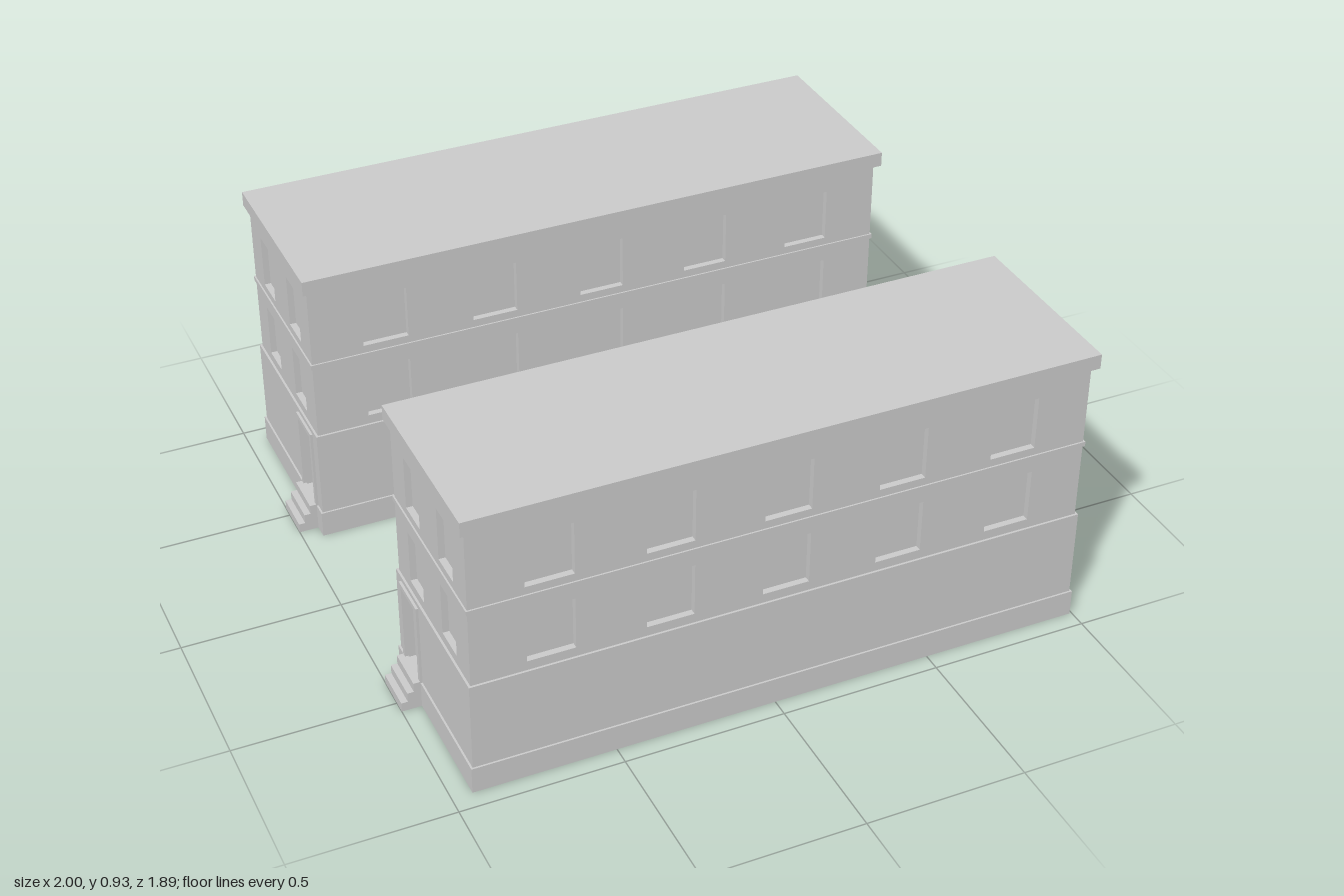
import * as THREE from 'three';

const mat = new THREE.MeshStandardMaterial({ color: 0xcccccc, flatShading: true });
const CX = 0.0275;          // middle of the wall block along x
const HX = 0.9525, HZ = 0.282; // half length and half depth of the upper walls
const DEPTH = 0.02;         // window recess

function add(parent, name, geometry) {
  const mesh = new THREE.Mesh(geometry, mat);
  mesh.name = name;
  parent.add(mesh);
  return mesh;
}

// Box given by its limits
function block(parent, name, x0, x1, y0, y1, z0, z1) {
  const mesh = add(parent, name, new THREE.BoxGeometry(x1 - x0, y1 - y0, z1 - z0));
  mesh.position.set((x0 + x1) / 2, (y0 + y1) / 2, (z0 + z1) / 2);
  return mesh;
}

// Box around the wall block, standing out by `out`
function course(parent, name, out, y0, y1) {
  return block(parent, name, CX - HX - out, CX + HX + out, y0, y1, -HZ - out, HZ + out);
}

function rectPath(Type, x0, x1, y0, y1) {
  const p = new Type();
  p.moveTo(x0, y0);
  p.lineTo(x1, y0);
  p.lineTo(x1, y1);
  p.lineTo(x0, y1);
  p.closePath();
  return p;
}

// Two-storey wall pierced by a row of windows on each floor; outer face at +z
function windowWall(halfWidth, centres, windowWidth) {
  const shape = rectPath(THREE.Shape, -halfWidth, halfWidth, 0.36, 0.89);
  for (const [y0, y1] of [[0.4, 0.57], [0.655, 0.825]])
    for (const c of centres)
      shape.holes.push(rectPath(THREE.Path, c - windowWidth / 2, c + windowWidth / 2, y0, y1));
  const geo = new THREE.ExtrudeGeometry(shape, { depth: DEPTH, bevelEnabled: false });
  return geo.translate(0, 0, -DEPTH);
}

function createBuilding(side) {
  const g = new THREE.Group();
  g.name = side > 0 ? 'frontBuilding' : 'rearBuilding';
  const doorZ = -side * 0.1775;

  // Upper storeys: recessed core behind pierced walls
  course(g, 'windowPanes', -DEPTH, 0.36, 0.89);
  const spacing = 0.357;
  const longCentres = [-2, -1, 0, 1, 2].map((i) => i * spacing);
  for (const s of [1, -1]) {
    const long = add(g, 'longWall', windowWall(HX, longCentres, 0.145));
    long.position.set(CX, 0, s * HZ);
    long.rotation.y = s > 0 ? 0 : Math.PI;
    const end = add(g, 'endWall', windowWall(HZ - DEPTH, [-0.128, 0.128], 0.11));
    end.position.set(CX + s * HX, 0, 0);
    end.rotation.y = s * Math.PI / 2;
  }

  // Ground floor: plan with a notch for the doorway, closed above by a lintel
  const x0 = CX - HX - 0.007, x1 = CX + HX + 0.007, z = HZ + 0.007;
  const plan = new THREE.Shape();
  [[x0, -z], [x1, -z], [x1, z], [x0, z],
    [x0, doorZ + 0.055], [x0 + 0.025, doorZ + 0.055],
    [x0 + 0.025, doorZ - 0.055], [x0, doorZ - 0.055]]
    .forEach(([px, pz], i) => (i ? plan.lineTo(px, -pz) : plan.moveTo(px, -pz)));
  const ground = new THREE.ExtrudeGeometry(plan, { depth: 0.26, bevelEnabled: false });
  add(g, 'groundFloor', ground.rotateX(-Math.PI / 2)).position.y = 0.08;
  course(g, 'groundFloorLedge', 0.007, 0.34, 0.37);

  // Horizontal courses and roof
  course(g, 'plinth', 0.013, 0, 0.085);
  course(g, 'floorBand', 0.005, 0.615, 0.63);
  block(g, 'roof', -0.94, 1, 0.885, 0.932, -0.297, 0.297);

  // Door frame
  const xf = x0 - 0.008;
  for (const s of [1, -1]) {
    const c = doorZ + s * 0.0625;
    block(g, 'doorJamb', xf, x0 + 0.01, 0.08, 0.355, c - 0.0075, c + 0.0075);
  }
  block(g, 'doorHead', xf, x0 + 0.01, 0.34, 0.355, doorZ - 0.055, doorZ + 0.055);

  // Entrance steps
  for (let i = 0; i < 3; i++)
    block(g, 'step', -1 + i * 0.02, -0.93, i * 0.03, (i + 1) * 0.03, doorZ - 0.07, doorZ + 0.07);

  g.position.z = side * 0.648;
  return g;
}

export function createModel() {
  const model = new THREE.Group();
  model.name = 'twinBuildings';
  model.add(createBuilding(1), createBuilding(-1));
  return model;
}
